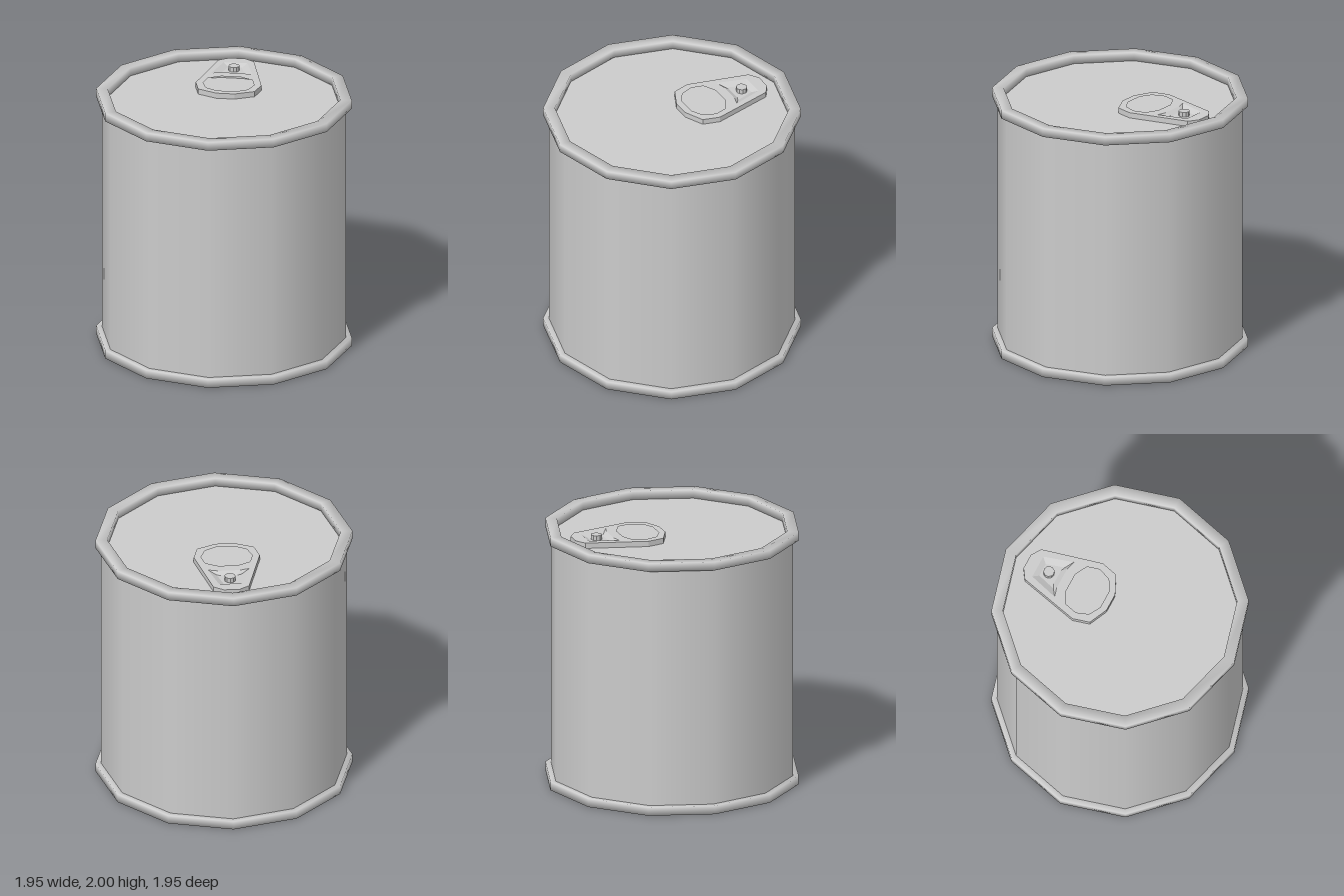
import * as THREE from 'three';
import { mergeVertices } from 'three/addons/utils/BufferGeometryUtils.js';

const SIDES = 12, RIM = 0.067, HEIGHT = 2;
const LID = HEIGHT - RIM, TAB_TOP = LID + 0.042;
const grey = new THREE.MeshStandardMaterial({ color: 0xcccccc });
const flatGrey = new THREE.MeshStandardMaterial({ color: 0xcccccc, flatShading: true });

function add(parent, name, geometry, material, x = 0, y = 0, z = 0) {
  const mesh = new THREE.Mesh(geometry, material);
  mesh.name = name;
  mesh.position.set(x, y, z);
  parent.add(mesh);
  return mesh;
}

// Half outline [x, z] from back to front, mirrored into a closed loop
function mirrored(half) {
  return [...half, ...half.slice().reverse().map(([x, z]) => [-x, z])];
}
const toVectors = (loop) => loop.map(([x, z]) => new THREE.Vector2(x, -z));

// Square-section ring with soft normals
function rimGeometry() {
  const profile = [[0.885, 0], [0.973, 0], [0.973, RIM], [0.885, RIM], [0.885, 0]];
  const lathe = new THREE.LatheGeometry(profile.map(([r, y]) => new THREE.Vector2(r, y)), SIDES);
  lathe.deleteAttribute('normal');
  lathe.deleteAttribute('uv');
  const ring = mergeVertices(lathe, 1e-4);
  ring.computeVertexNormals();
  return ring;
}

// Shallow dish: sloped walls between two loops, closed by a flat floor
function dishGeometry(outer, inner, top, floor) {
  const n = outer.length, positions = [], index = [];
  outer.forEach(([x, z]) => positions.push(x, top, z));
  inner.forEach(([x, z]) => positions.push(x, floor, z));
  for (let i = 0; i < n; i++) {
    const j = (i + 1) % n;
    index.push(i, j, n + i, j, n + j, n + i);
  }
  for (const [a, b, c] of THREE.ShapeUtils.triangulateShape(toVectors(inner), [])) {
    index.push(n + a, n + b, n + c);
  }
  const geometry = new THREE.BufferGeometry();
  geometry.setAttribute('position', new THREE.Float32BufferAttribute(positions, 3));
  geometry.setIndex(index);
  geometry.computeVertexNormals();
  return geometry;
}

export function createModel() {
  const can = new THREE.Group();
  can.name = 'can';

  // Body with recessed lid and base
  add(can, 'body', new THREE.CylinderGeometry(0.93, 0.93, HEIGHT - 2 * RIM, SIDES), grey, 0, HEIGHT / 2, 0);
  const rim = rimGeometry();
  add(can, 'bottomRim', rim, grey);
  add(can, 'topRim', rim, grey, 0, LID, 0);

  // Pull tab
  const pullTab = new THREE.Group();
  pullTab.name = 'pullTab';
  can.add(pullTab);

  const outline = mirrored([[0.06, -0.79], [0.135, -0.74], [0.25, -0.275], [0.215, -0.145], [0.07, -0.078]]);
  const fingerHole = mirrored([[0.073, -0.42], [0.17, -0.37], [0.195, -0.275], [0.16, -0.18], [0.073, -0.13]]);
  const dishOuter = mirrored([[0.09, -0.7], [0.157, -0.475], [0.085, -0.495]]);
  const dishInner = mirrored([[0.052, -0.66], [0.095, -0.518], [0.06, -0.533]]);

  const shape = new THREE.Shape(toVectors(outline));
  shape.holes.push(new THREE.Path(toVectors(fingerHole)), new THREE.Path(toVectors(dishOuter)));
  const plate = new THREE.ExtrudeGeometry(shape, { depth: TAB_TOP - LID, bevelEnabled: false });
  plate.rotateX(-Math.PI / 2);
  add(pullTab, 'tabPlate', plate, flatGrey, 0, LID, 0);

  const floor = TAB_TOP - 0.022;
  const dishMaterial = flatGrey.clone();
  dishMaterial.side = THREE.DoubleSide;
  add(pullTab, 'tabRecess', dishGeometry(dishOuter, dishInner, TAB_TOP, floor), dishMaterial);

  // Rivet holding the tab to the lid
  const rivetTop = 1.99;
  add(pullTab, 'rivet', new THREE.CylinderGeometry(0.042, 0.042, rivetTop - LID, 10), flatGrey,
    0, (rivetTop + LID) / 2, -0.605);

  return can;
}
